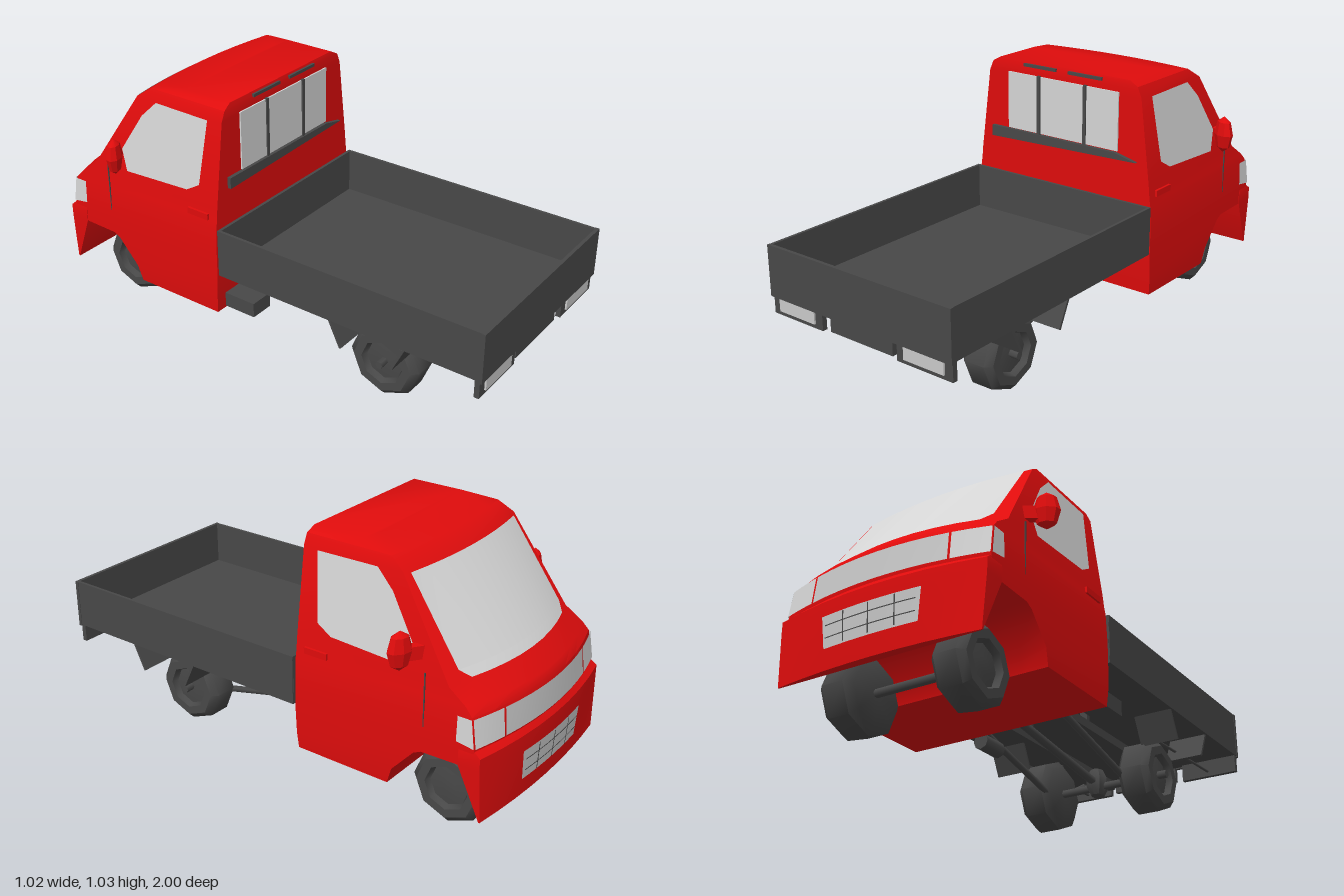
import * as THREE from 'three';
import { toCreasedNormals } from 'three/addons/utils/BufferGeometryUtils.js';

const mat = (name, color, side = THREE.FrontSide) => {
  const m = new THREE.MeshStandardMaterial({ color, side });
  m.name = name;
  return m;
};

export function createModel() {
  const root = new THREE.Group();
  root.name = 'pickupTruck';
  const red = mat('redPaint', 0xe00c0c);
  const dark = mat('darkGrey', 0x484848, THREE.DoubleSide);
  const glass = mat('paleGlass', 0xd6d6d6, THREE.DoubleSide);
  const chrome = mat('chrome', 0xcacaca, THREE.DoubleSide);

  const add = (name, geo, material, x = 0, y = 0, z = 0) => {
    const m = new THREE.Mesh(geo, material);
    m.name = name;
    m.position.set(x, y, z);
    root.add(m);
    return m;
  };
  const box = (name, w, h, d, x, y, z, material = dark) =>
    add(name, new THREE.BoxGeometry(w, h, d), material, x, y, z);
  const rod = (name, a, b, r, sides = 6) => {
    const p = new THREE.Vector3(...a), q = new THREE.Vector3(...b);
    const m = add(name, new THREE.CylinderGeometry(r, r, p.distanceTo(q), sides), dark);
    m.position.copy(p).lerp(q, 0.5);
    m.quaternion.setFromUnitVectors(new THREE.Vector3(0, 1, 0), q.sub(p).normalize());
    return m;
  };
  const build = (pos, idx) => {
    const g = new THREE.BufferGeometry();
    g.setAttribute('position', new THREE.Float32BufferAttribute(pos, 3));
    g.setIndex(idx);
    return toCreasedNormals(g, 0.5);
  };

  // Levels are [y, halfWidth, rearZ, frontZ at centre, bow towards the corners]
  const cabLevels = [
    [0.175, 0.425, -0.17, -0.57, 0], [0.24, 0.43, -0.165, -0.59, 0],
    [0.34, 0.43, -0.16, -0.68, 0], [0.355, 0.43, -0.16, -0.71, 0],
    [0.36, 0.43, -0.16, -0.955, 0.05], [0.43, 0.43, -0.16, -0.98, 0.06],
    [0.55, 0.425, -0.16, -0.972, 0.07], [0.58, 0.42, -0.16, -0.955, 0.08],
    [0.63, 0.415, -0.16, -0.888, 0.085], [0.97, 0.37, -0.16, -0.615, 0.035],
    [1.01, 0.352, -0.16, -0.55, 0.03], [1.03, 0.315, -0.165, -0.4, 0.02],
  ];
  const bumperLevels = [
    [0.155, 0.42, -0.945, -0.98, 0.03], [0.36, 0.432, -0.86, -0.995, 0.05],
    [0.41, 0.432, -0.86, -0.995, 0.05], [0.43, 0.428, -0.86, -0.98, 0.06],
  ];
  const levelAt = (levels, y) => {
    let i = 0;
    while (i < levels.length - 2 && y > levels[i + 1][0]) i++;
    const t = (y - levels[i][0]) / (levels[i + 1][0] - levels[i][0]);
    return levels[i].map((v, k) => v + (levels[i + 1][k] - v) * t);
  };
  const frontPoint = (l, u, off = 0) => [u * l[1], l[0], l[3] + l[4] * u * u - off];

  // Closed shell from stacked horizontal rings
  const loft = (levels) => {
    const pos = [], idx = [], n = 11;
    for (const l of levels) {
      for (let k = 0; k <= 8; k++) pos.push(...frontPoint(l, k / 4 - 1));
      pos.push(l[1], l[0], l[2], -l[1], l[0], l[2]);
    }
    for (let i = 0; i < levels.length - 1; i++) {
      for (let j = 0; j < n; j++) {
        const a = i * n + j, b = i * n + (j + 1) % n;
        idx.push(a, a + n, b, b, a + n, b + n);
      }
    }
    const top = (levels.length - 1) * n;
    for (let k = 1; k < n - 1; k++) idx.push(0, k, k + 1, top, top + k + 1, top + k);
    return build(pos, idx);
  };
  // Thin plate lying on the bowed front face
  const frontPlate = (name, levels, uBottom, uTop, y0, y1, material, off = 0.006) => {
    const pos = [], idx = [], n = 9;
    for (let i = 0; i < 2; i++) {
      const l = levelAt(levels, i ? y1 : y0), [a, b] = i ? uTop : uBottom;
      for (let k = 0; k < n; k++) pos.push(...frontPoint(l, a + (b - a) * k / (n - 1), off));
    }
    for (let k = 0; k < n - 1; k++) idx.push(k, k + n, k + 1, k + 1, k + n, k + n + 1);
    add(name, build(pos, idx), material);
  };
  // Thin plate on a side of the cab, outline in (z, y)
  const sidePlate = (name, s, outline, material) => {
    const g = new THREE.ShapeGeometry(new THREE.Shape(outline.map((p) => new THREE.Vector2(...p))));
    const p = g.attributes.position;
    for (let i = 0; i < p.count; i++) {
      const z = p.getX(i), y = p.getY(i);
      p.setXYZ(i, s * (levelAt(cabLevels, y)[1] + 0.005), y, z);
    }
    if (s > 0) g.setIndex([...g.index.array].reverse());
    g.computeVertexNormals();
    add(name, g, material);
  };

  // Cab and front bumper
  add('cab', loft(cabLevels), red);
  add('bumper', loft(bumperLevels), red);
  frontPlate('windshieldLower', cabLevels, [-0.78, 0.78], [-0.87, 0.87], 0.64, 0.67, glass);
  frontPlate('windshield', cabLevels, [-0.87, 0.87], [-0.93, 0.93], 0.67, 0.965, glass);
  frontPlate('grilleBand', cabLevels, [-0.66, 0.66], [-0.66, 0.66], 0.44, 0.545, chrome);
  frontPlate('lowerGrille', bumperLevels, [-0.46, 0.46], [-0.48, 0.48], 0.23, 0.35, chrome);
  for (const u of [-0.25, 0, 0.25])
    frontPlate('grilleBar', bumperLevels, [u - 0.006, u + 0.006], [u - 0.006, u + 0.006], 0.235, 0.345, dark, 0.009);
  for (const y of [0.265, 0.31])
    frontPlate('grilleSlat', bumperLevels, [-0.44, 0.44], [-0.44, 0.44], y, y + 0.004, dark, 0.009);

  // Rear window, ledge and roof vents
  for (const s of [-1, 0, 1]) {
    box('rearPane', s ? 0.155 : 0.21, 0.235, 0.006, s * 0.192, 0.86, -0.157, glass);
    if (s) {
      box('paneDivider', 0.014, 0.245, 0.012, s * 0.113, 0.858, -0.155);
      box('roofVent', 0.16, 0.012, 0.01, s * 0.11, 1.016, -0.158);
    }
  }
  const ledge = new THREE.Shape([[-0.35, 0.695], [0.36, 0.715], [0.26, 0.738], [-0.35, 0.74]]
    .map((p) => new THREE.Vector2(...p)));
  add('rearLedge', new THREE.ExtrudeGeometry(ledge, { depth: 0.015, bevelEnabled: false }), dark, 0, 0, -0.16);

  // Wheel: eight-sided tyre with a recessed hub
  const tyre = toCreasedNormals(new THREE.LatheGeometry(
    [[0, -0.07], [0.12, -0.07], [0.15, -0.045], [0.15, 0.045], [0.125, 0.07],
      [0.09, 0.07], [0.08, 0.045], [0.03, 0.05], [0, 0.05]].map((p) => new THREE.Vector2(...p)), 8), 0.8);

  for (const s of [-1, 1]) {
    // Side glass, headlights, door handles and mirrors
    sidePlate('sideWindow', s, [[-0.225, 0.965], [-0.48, 0.968], [-0.55, 0.9], [-0.65, 0.74],
      [-0.62, 0.655], [-0.31, 0.67], [-0.25, 0.705]], glass);
    sidePlate('headlightSide', s, [[-0.85, 0.45], [-0.92, 0.44], [-0.905, 0.545], [-0.85, 0.545]], glass);
    const u = s < 0 ? [-1, -0.68] : [0.68, 1];
    frontPlate('headlight', cabLevels, u, u, 0.44, 0.545, glass);
    box('doorHandle', 0.012, 0.025, 0.1, s * 0.422, 0.59, -0.25, red);
    box('doorSeam', 0.004, 0.3, 0.004, s * 0.427, 0.51, -0.715);
    const mirror = add('mirror', toCreasedNormals(new THREE.SphereGeometry(0.062, 8, 4), 0.6), red, s * 0.463, 0.733, -0.635);
    mirror.scale.set(0.8, 1.2, 0.5);
    mirror.rotation.y = -s * 0.45;
    box('mirrorArm', 0.07, 0.05, 0.03, s * 0.415, 0.72, -0.665, red).rotation.y = -s * 0.6;

    // Wheels
    for (const z of [-0.74, 0.515]) {
      const w = add(z < 0 ? 'frontWheel' : 'rearWheel', tyre, dark, s * 0.232, 0.152, z);
      w.rotation.z = -s * Math.PI / 2;
    }

    // Bed side, tail panel, tail lamp and mud flaps
    box('bedSide', 0.012, 0.195, 1.15, s * 0.427, 0.4525, 0.425);
    box('tailPanel', 0.25, 0.075, 0.02, s * 0.305, 0.32, 0.98);
    box('tailLamp', 0.18, 0.048, 0.008, s * 0.305, 0.324, 0.993, chrome);
    rod('bumperStay', [s * 0.3, 0.305, 0.97], [s * 0.3, 0.285, 0.42], 0.006);
    for (const [z, tilt] of [[0.385, -0.45], [0.66, 0.45]])
      box('mudFlap', 0.16, 0.13, 0.01, s * 0.345, 0.305, z).rotation.x = tilt;

    // Frame rails and leaf springs
    box('frameRail', 0.035, 0.035, 1.05, s * 0.13, 0.29, 0.36);
    rod('springFront', [s * 0.18, 0.135, 0.4], [s * 0.18, 0.27, -0.16], 0.014);
    rod('springRear', [s * 0.18, 0.14, 0.52], [s * 0.18, 0.25, 0.72], 0.012);
    box('bedBracket', 0.03, 0.08, 0.02, s * 0.13, 0.32, 0.19);
    box('bedBracket', 0.03, 0.08, 0.02, s * 0.13, 0.32, -0.09);
  }

  // Cargo bed
  box('bedFloor', 0.86, 0.015, 1.15, 0, 0.3625, 0.425);
  box('tailgate', 0.87, 0.2, 0.014, 0, 0.45, 0.993);
  box('bedFrontWall', 0.86, 0.195, 0.012, 0, 0.4525, -0.145);
  box('numberPlateHolder', 0.3, 0.06, 0.02, 0, 0.315, 0.97);

  // Axles, differential, drive shaft and under-floor parts
  rod('rearAxle', [-0.32, 0.152, 0.515], [0.32, 0.152, 0.515], 0.016);
  rod('frontAxle', [-0.2, 0.152, -0.74], [0.2, 0.152, -0.74], 0.016);
  const diff = add('differential', toCreasedNormals(new THREE.SphereGeometry(0.05, 8, 5), 0.6), dark, 0, 0.17, 0.515);
  diff.scale.set(0.9, 1.35, 1.1);
  rod('driveShaft', [0, 0.17, 0.47], [0, 0.25, -0.16], 0.018);
  rod('muffler', [0.14, 0.172, -0.02], [0.14, 0.172, -0.14], 0.032, 8);
  box('fuelTank', 0.1, 0.06, 0.14, -0.35, 0.23, -0.08);
  return root;
}
